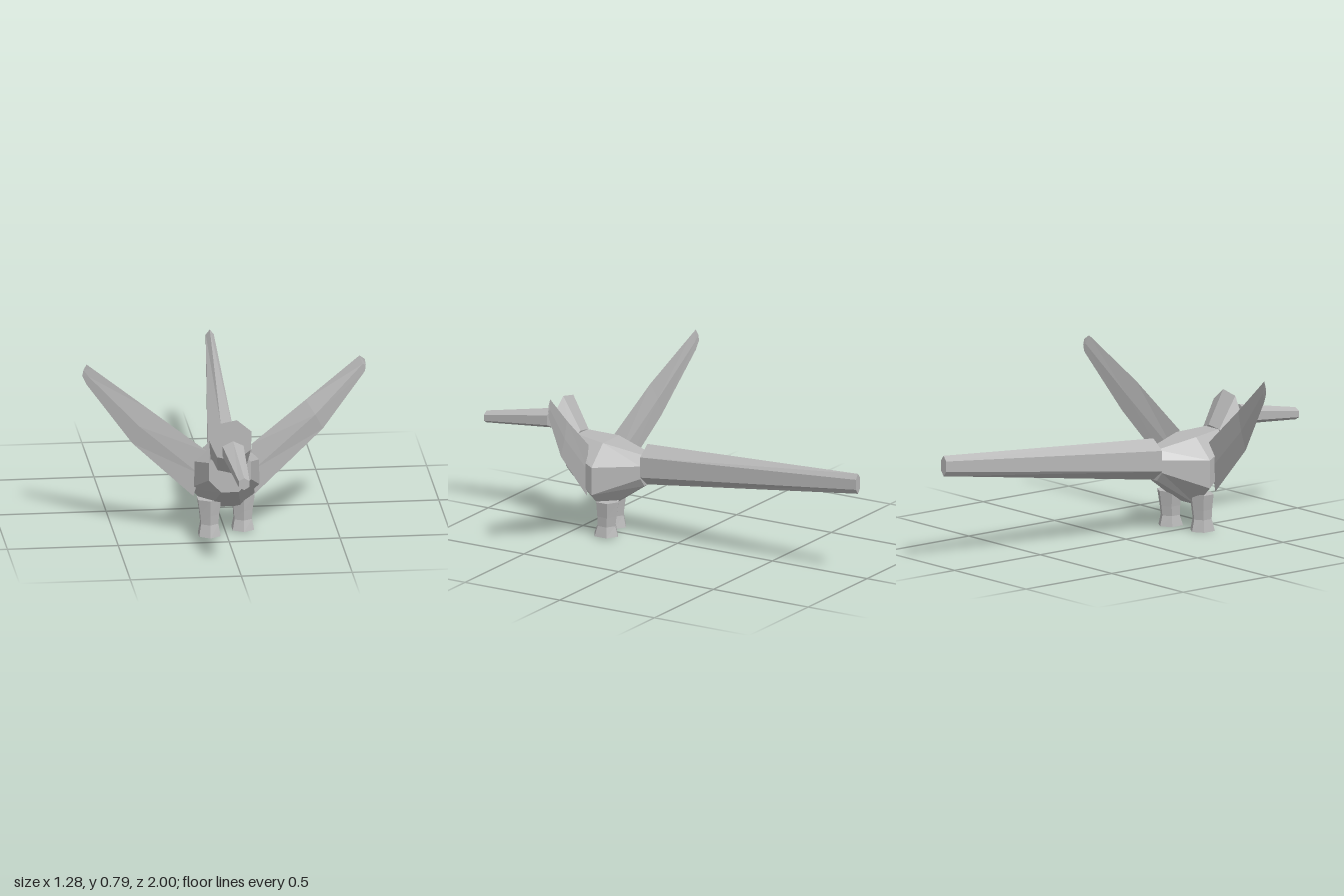
import * as THREE from 'three';

// Skin a list of closed rings (arrays of [x, y, z]) and cap both ends.
function loft(rings) {
  const n = rings[0].length, tris = [];
  for (let r = 0; r < rings.length - 1; r++) {
    for (let i = 0; i < n; i++) {
      const j = (i + 1) % n;
      const [a, b, c, d] = [rings[r][i], rings[r][j], rings[r + 1][j], rings[r + 1][i]];
      tris.push([a, b, c], [a, c, d]);
    }
  }
  const last = rings[rings.length - 1];
  for (let i = 1; i < n - 1; i++) {
    tris.push([rings[0][0], rings[0][i + 1], rings[0][i]], [last[0], last[i], last[i + 1]]);
  }
  // Turn the shell outward if its enclosed volume is negative
  const v = (p) => new THREE.Vector3(...p);
  const volume = tris.reduce((s, [a, b, c]) => s + v(a).dot(v(b).cross(v(c))), 0);
  if (volume < 0) tris.forEach((t) => t.reverse());
  const geometry = new THREE.BufferGeometry();
  geometry.setAttribute('position', new THREE.Float32BufferAttribute(tris.flat(2), 3));
  geometry.computeVertexNormals();
  return geometry;
}

// Upright polygon facing z; tilt moves the top of the ring along z.
function ringZ(sides, start, x, y, z, rx, ry, tilt = 0) {
  return Array.from({ length: sides }, (_, i) => {
    const a = THREE.MathUtils.degToRad(start) + (i / sides) * Math.PI * 2;
    return [x + Math.cos(a) * rx, y + Math.sin(a) * ry, z + Math.sin(a) * tilt];
  });
}

// Flat hexagon facing y, with one corner toward the front.
function ringY(x, y, z, rx, rz) {
  return Array.from({ length: 6 }, (_, i) => {
    const a = (i / 6) * Math.PI * 2;
    return [x + Math.sin(a) * rx, y, z + Math.cos(a) * rz];
  });
}

export function createModel() {
  const model = new THREE.Group();
  const grey = new THREE.MeshStandardMaterial({ color: 0xb8b8b8, flatShading: true });
  grey.name = 'plain grey';
  const add = (name, rings) => {
    const mesh = new THREE.Mesh(loft(rings), grey);
    mesh.name = name;
    model.add(mesh);
  };

  // Octagonal body, widest in the middle
  add('body', [
    ringZ(8, 22.5, 0, 0.32, 0.16, 0.065, 0.077),
    ringZ(8, 22.5, 0, 0.275, 0.352, 0.179, 0.168),
    ringZ(8, 22.5, 0, 0.343, 0.53, 0.103, 0.108),
  ]);

  // Long tapering tail that drifts to one side
  add('tail', [
    ringZ(6, 30, 0, 0.345, 0.16, 0.07, 0.095),
    ringZ(6, 30, 0.077, 0.466, -1, 0.021, 0.047),
  ]);

  // Seven-sided head flaring forward
  add('head', [
    ringZ(7, 24, 0, 0.392, 0.515, 0.085, 0.061, -0.016),
    ringZ(7, 24, 0, 0.505, 0.588, 0.1, 0.099),
  ]);

  // Beak, set apart in front of the head
  add('beak', [
    ringZ(6, 30, 0, 0.48, 0.66, 0.055, 0.046),
    ringZ(6, 30, 0.013, 0.433, 1, 0.028, 0.028),
  ]);

  // Legs, narrow above the foot
  const leg = (name, x, z, floor) => add(name, [
    ringY(x, floor, z, 0.056, 0.062),
    ringY(x, 0.055, z - 0.003, 0.045, 0.046),
    ringY(x, 0.1, z - 0.005, 0.049, 0.05),
    ringY(x, 0.17, z - 0.008, 0.06, 0.057),
  ]);
  leg('rightLeg', -0.077, 0.383, 0);
  leg('leftLeg', 0.08, 0.328, 0.007);

  // Thin wings: each station gives top [x, y], bottom [x, y] and half thickness
  const sweep = (x) => (x < 0.4 ? 0.405 - (x - 0.1) * 0.17 : 0.354 - (x - 0.4) * 0.29);
  const wing = (name, side, stations) => add(name, stations.map(([tx, ty, bx, by, t]) => {
    const mx = (tx + bx) / 2 + 0.004, my = (ty + by) / 2;
    return [
      [side * tx, ty, sweep(tx)],
      [side * mx, my, sweep(mx) + t],
      [side * bx, by, sweep(bx)],
      [side * mx, my, sweep(mx) - t],
    ];
  }));
  wing('rightWing', -1, [
    [0.09, 0.4, 0.15, 0.187, 0.004],
    [0.35, 0.595, 0.42, 0.43, 0.008],
    [0.595, 0.772, 0.62, 0.695, 0.003],
    [0.62, 0.79, 0.639, 0.735, 0.001],
  ]);
  wing('leftWing', 1, [
    [0.11, 0.425, 0.125, 0.188, 0.004],
    [0.36, 0.612, 0.44, 0.468, 0.008],
    [0.61, 0.79, 0.632, 0.708, 0.003],
    [0.635, 0.77, 0.636, 0.715, 0.001],
  ]);
  return model;
}
